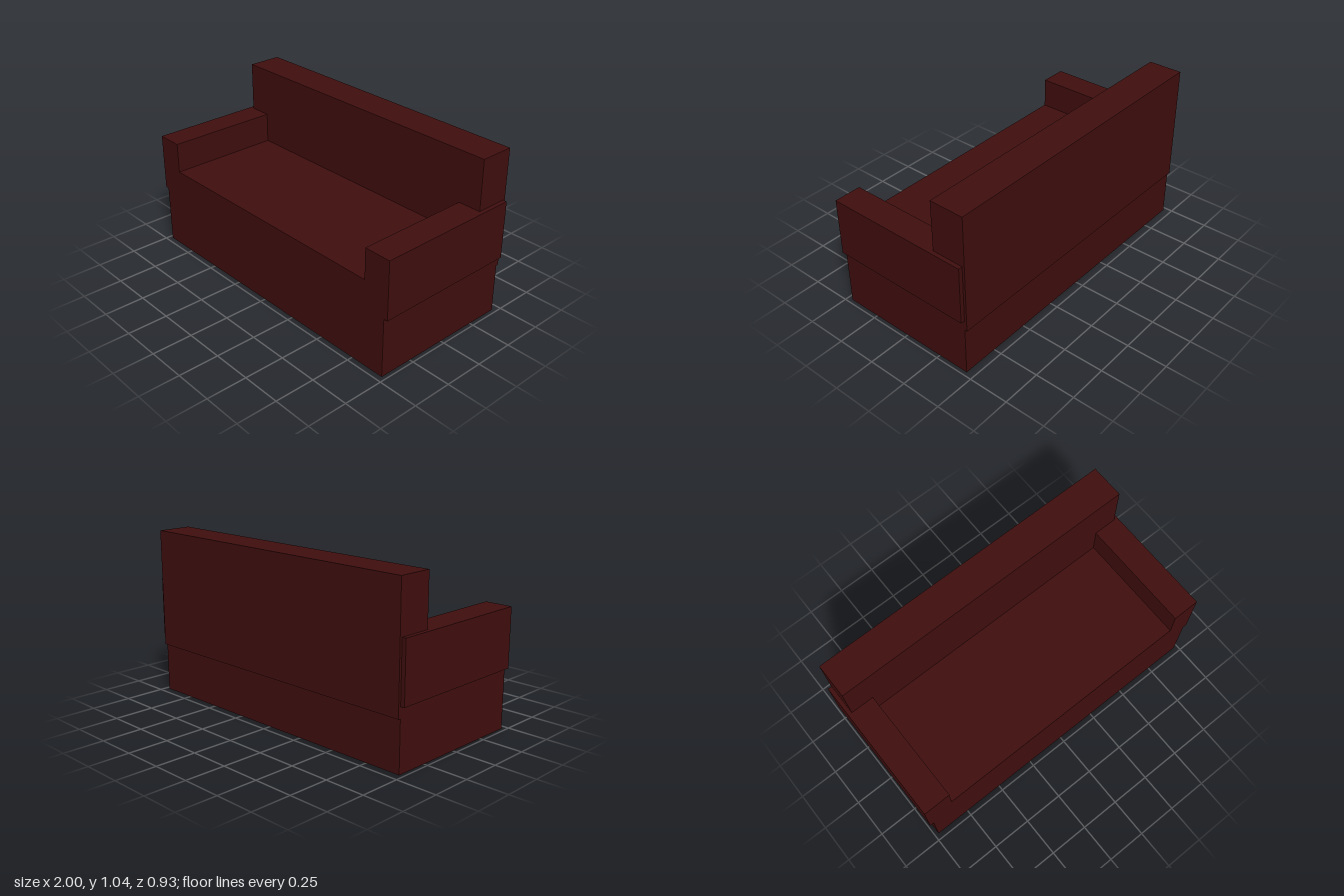
import * as THREE from 'three';

// Main dimensions
const BODY_X = 0.975, SEAT_X = 0.83, ARM_X = 1.0;
const FRONT = 0.465, REAR = -0.45, BACK_FRONT = -0.25, BACK_REAR = -0.465;
const SEAT_Y = 0.54, ARM_LOW = 0.37, ARM_TOP = 0.73, BACK_LOW = 0.305, TOP = 1.04;

export function createModel() {
  const sofa = new THREE.Group();
  sofa.name = 'sofa';
  const leather = new THREE.MeshStandardMaterial({ color: 0x3f0d0d, side: THREE.DoubleSide });
  leather.name = 'dark red leather';

  // Closed block given by its lower and upper corners
  function block(name, [x0, y0, z0], [x1, y1, z1]) {
    const mesh = new THREE.Mesh(new THREE.BoxGeometry(x1 - x0, y1 - y0, z1 - z0), leather);
    mesh.position.set((x0 + x1) / 2, (y0 + y1) / 2, (z0 + z1) / 2);
    mesh.name = name;
    sofa.add(mesh);
  }

  // Flat upholstery panel cut from an outline
  function panel(name, outline) {
    const shape = new THREE.Shape(outline.map(([x, y]) => new THREE.Vector2(x, y)));
    const mesh = new THREE.Mesh(new THREE.ShapeGeometry(shape), leather);
    mesh.name = name;
    sofa.add(mesh);
    return mesh;
  }

  // Hollow base, open underneath: the front rises between the arms to the seat
  panel('baseFront', [
    [-BODY_X, 0], [BODY_X, 0], [BODY_X, ARM_LOW], [SEAT_X, ARM_LOW],
    [SEAT_X, SEAT_Y], [-SEAT_X, SEAT_Y], [-SEAT_X, ARM_LOW], [-BODY_X, ARM_LOW],
  ]).position.z = FRONT;

  const rear = panel('baseRear', [
    [-BODY_X, 0], [BODY_X, 0], [BODY_X, BACK_LOW], [-BODY_X, BACK_LOW],
  ]);
  rear.rotation.y = Math.PI;
  rear.position.z = REAR;

  // Seat
  const seat = panel('seat', [
    [-SEAT_X, -FRONT], [SEAT_X, -FRONT], [SEAT_X, -BACK_FRONT], [-SEAT_X, -BACK_FRONT],
  ]);
  seat.rotation.x = -Math.PI / 2;
  seat.position.y = SEAT_Y;

  // Sides of the base, notched around the backrest, and the arms
  for (const s of [1, -1]) {
    const name = s > 0 ? 'left' : 'right';
    const side = panel(name + 'BaseSide', [
      [REAR, 0], [FRONT, 0], [FRONT, ARM_LOW], [BACK_FRONT, ARM_LOW],
      [BACK_FRONT, BACK_LOW], [REAR, BACK_LOW],
    ].map(([z, y]) => [-s * z, y]));
    side.rotation.y = s * Math.PI / 2;
    side.position.x = s * BODY_X;

    block(name + 'Arm',
      [s > 0 ? SEAT_X : -ARM_X, ARM_LOW, REAR],
      [s > 0 ? ARM_X : -SEAT_X, ARM_TOP, FRONT]);
  }

  // Backrest
  block('backrest', [-BODY_X, BACK_LOW, BACK_REAR], [BODY_X, TOP, BACK_FRONT]);

  return sofa;
}
